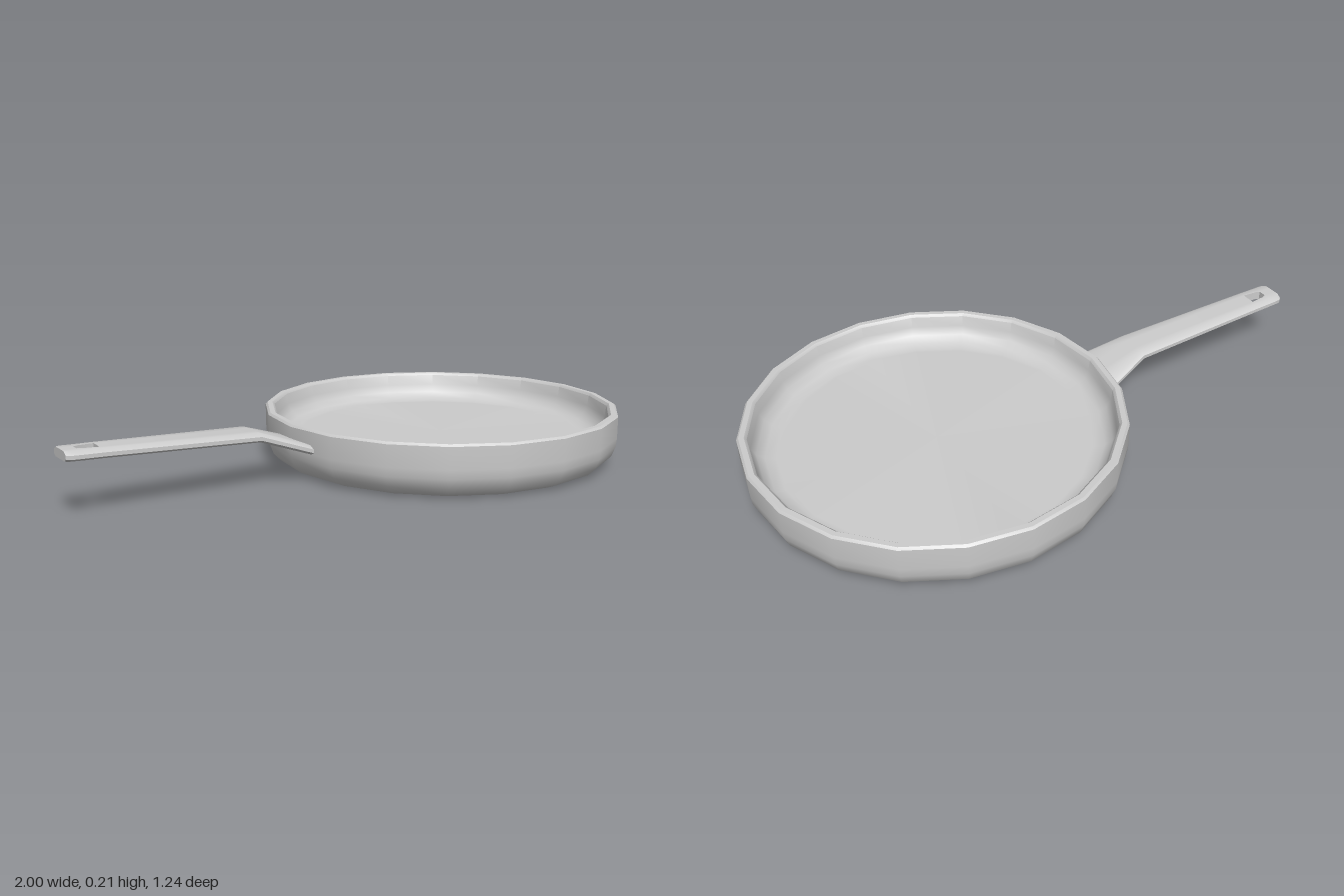
import * as THREE from 'three';
import { toCreasedNormals } from 'three/addons/utils/BufferGeometryUtils.js';

const grey = new THREE.MeshStandardMaterial({ color: 0xcccccc });

function part(name, geometry, crease) {
  const mesh = new THREE.Mesh(toCreasedNormals(geometry, crease), grey);
  mesh.name = name;
  return mesh;
}

// Twenty-sided bowl: flat underside, rounded foot, wall, bevelled rim, inside wall, flat floor
function panGeometry() {
  const profile = [
    [0, 0], [0.54, 0], [0.55, 0], [0.578, 0.012], [0.602, 0.036], [0.615, 0.07], [0.618, 0.1],
    [0.618, 0.173], [0.611, 0.18], [0.594, 0.18], [0.586, 0.172],
    [0.581, 0.135], [0.567, 0.107], [0.543, 0.088], [0.51, 0.08], [0.5, 0.08], [0, 0.08],
  ].map(([r, y]) => new THREE.Vector2(r, y));
  return new THREE.LatheGeometry(profile, 20);
}

// Chamfered bar lofted along x, with a tapered hanging hole near its tip
function handleGeometry() {
  const h = 0.015; // half thickness
  // x, centre height, half width, half width of the hole strip
  const stations = [
    [-1, 0.194, 0.048, 0.014],
    [-0.988, 0.1935, 0.056, 0.014],
    [-0.955, 0.192, 0.0565, 0.014],
    [-0.94, 0.1915, 0.057, 0.02],
    [-0.89, 0.19, 0.058, 0.025],
    [-0.38, 0.168, 0.07, 0.025],
    [-0.21, 0.111, 0.115, 0.025],
  ];
  const holeStart = 2, holeEnd = 4;
  const rings = stations.map(([x, y, w, s]) => {
    const half = [[s, h], [w - 0.016, h], [w, h * 0.3], [w, -h * 0.5], [w - 0.012, -h], [s, -h]];
    const mirrored = half.map(([z, v]) => [-z, v]).reverse();
    return [...half, ...mirrored].map(([z, v]) => [x, y + v, z]);
  });

  const positions = [];
  const quad = (a, b, c, d) => positions.push(...a, ...b, ...c, ...a, ...c, ...d);
  const n = 12;
  for (let i = 0; i < rings.length - 1; i++) {
    const p = rings[i], q = rings[i + 1];
    const open = i >= holeStart && i < holeEnd;
    for (let j = 0; j < n; j++) {
      if (open && (j === 5 || j === 11)) continue; // hole through top and bottom
      const k = (j + 1) % n;
      quad(p[j], p[k], q[k], q[j]);
    }
    if (open) { // side walls of the hole
      quad(p[0], q[0], q[5], p[5]);
      quad(p[6], q[6], q[11], p[11]);
    }
  }
  // End walls of the hole
  const a = rings[holeStart], b = rings[holeEnd];
  quad(a[11], a[0], a[5], a[6]);
  quad(b[6], b[5], b[0], b[11]);
  // Caps at the tip and at the pan wall
  const tip = rings[0], root = rings[rings.length - 1];
  for (let j = 1; j < n - 1; j++) {
    positions.push(...tip[0], ...tip[j + 1], ...tip[j]);
    positions.push(...root[0], ...root[j], ...root[j + 1]);
  }
  const geometry = new THREE.BufferGeometry();
  geometry.setAttribute('position', new THREE.Float32BufferAttribute(positions, 3));
  return geometry;
}

export function createModel() {
  const group = new THREE.Group();
  group.name = 'fryingPan';
  const pan = part('pan', panGeometry(), 0.68);
  pan.position.x = 0.382;
  group.add(pan, part('handle', handleGeometry(), 0.8));
  return group;
}
